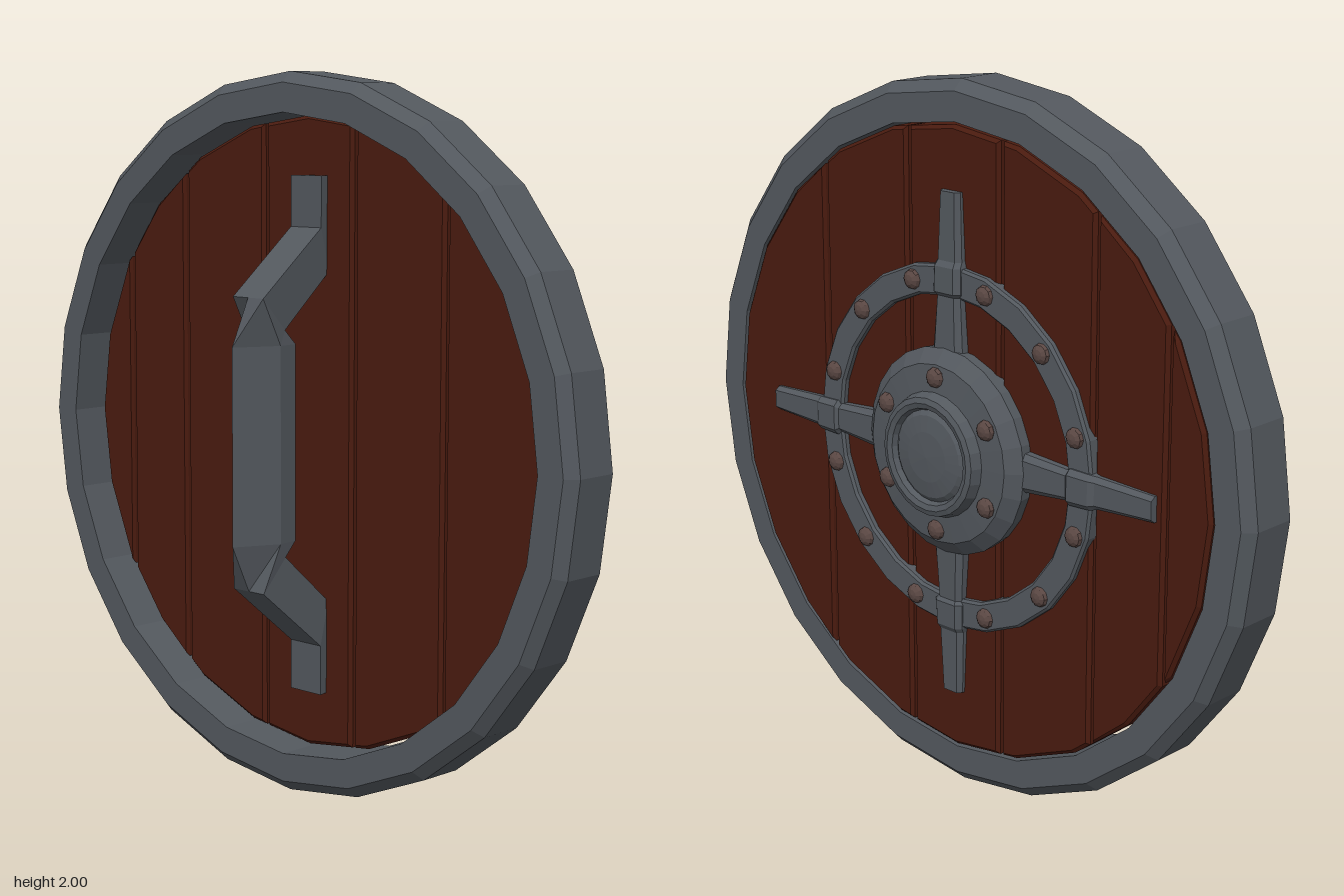
import * as THREE from 'three';

const material = (color) => new THREE.MeshStandardMaterial({ color, flatShading: true });

export function createModel() {
  const iron = material(0x53585e);
  const wood = material(0x4a1b0f);
  const copper = material(0x5a4743);

  // Built facing local +z, then turned to face +x.
  const shield = new THREE.Group();
  shield.name = 'roundShield';

  const add = (name, geometry, mat, parent = shield) => {
    const mesh = new THREE.Mesh(geometry, mat);
    mesh.name = name;
    parent.add(mesh);
    return mesh;
  };

  // Turned part from [radius, depth] pairs, axis along z.
  const turned = (profile, sides = 24) =>
    new THREE.LatheGeometry(profile.map(([r, d]) => new THREE.Vector2(r, d)), sides).rotateX(Math.PI / 2);

  // Closed solid through rings of [x, y, z], each counterclockwise about the path.
  const loft = (rings) => {
    const n = rings[0].length;
    const last = (rings.length - 1) * n;
    const index = [];
    for (let i = 0; i < rings.length - 1; i++) {
      for (let j = 0; j < n; j++) {
        const a = i * n + j, b = i * n + (j + 1) % n;
        index.push(a, b, b + n, a, b + n, a + n);
      }
    }
    for (let j = 1; j < n - 1; j++) {
      index.push(0, j + 1, j, last, last + j, last + j + 1);
    }
    const g = new THREE.BufferGeometry();
    g.setAttribute('position', new THREE.Float32BufferAttribute(rings.flat(2), 3));
    g.setIndex(index);
    const flat = g.toNonIndexed();
    flat.computeVertexNormals();
    return flat;
  };

  // Bevelled outer rim
  add('rim', turned([
    [0.89, -0.05], [0.97, -0.05], [1, -0.02], [1, 0.11], [0.97, 0.14], [0.89, 0.14], [0.89, -0.05],
  ]), iron);

  // Planks: vertical strips of a 24-sided disc with narrow gaps
  const planks = new THREE.Group();
  planks.name = 'planks';
  shield.add(planks);
  const R = 0.883, gap = 0.005, bevel = 0.01;
  const corners = Array.from({ length: 13 }, (_, i) => {
    const a = Math.PI - i * Math.PI / 12;
    return [R * Math.cos(a), R * Math.sin(a)];
  });
  const edgeHeight = (x) => {
    const i = Math.max(1, corners.findIndex(([cx]) => cx >= x));
    const [[x0, y0], [x1, y1]] = [corners[i - 1], corners[i]];
    return y0 + (y1 - y0) * (x - x0) / (x1 - x0);
  };
  const cuts = [-R, -0.5, -0.17, 0.17, 0.5, 0.74, R];
  for (let i = 0; i < cuts.length - 1; i++) {
    const x0 = i === 0 ? -R : cuts[i] + gap;
    const x1 = i === cuts.length - 2 ? R : cuts[i + 1] - gap;
    const top = [x0, ...corners.map((c) => c[0]).filter((x) => x > x0 + 0.002 && x < x1 - 0.002), x1]
      .map((x) => new THREE.Vector2(x, Math.abs(x) === R ? 0 : edgeHeight(x)));
    const bottom = top.filter((p) => p.y > 0).map((p) => new THREE.Vector2(p.x, -p.y)).reverse();
    const g = new THREE.ExtrudeGeometry(new THREE.Shape([...top, ...bottom]), {
      depth: 0.075, bevelEnabled: true, bevelSize: bevel, bevelOffset: -bevel, bevelThickness: bevel, bevelSegments: 1,
    });
    add('plank', g.translate(0, 0, 0.06), wood, planks);
  }

  // Iron hoop across the planks
  add('hoop', turned([
    [0.43, 0.13], [0.515, 0.13], [0.515, 0.158], [0.508, 0.165], [0.437, 0.165], [0.43, 0.158], [0.43, 0.13],
  ]), iron);

  // Four tapering arms, stepped over the hoop: [distance, half width, front]
  const armRings = [
    [0.25, 0.056, 0.182], [0.43, 0.042, 0.176], [0.44, 0.05, 0.184],
    [0.51, 0.048, 0.182], [0.525, 0.044, 0.172], [0.71, 0.035, 0.167],
  ].map(([y, w, z]) => [[-w, y, 0.13], [-w, y, z - 0.014], [-w * 0.7, y, z],
    [w * 0.7, y, z], [w, y, z - 0.014], [w, y, 0.13]]);
  const armGeometry = loft(armRings);
  for (let i = 0; i < 4; i++) add('crossArm', armGeometry, iron).rotation.z = i * Math.PI / 2;

  // Central boss with a raised collar and shallow dome
  add('boss', turned([
    [0, 0.13], [0.285, 0.13], [0.29, 0.18], [0.25, 0.213], [0.175, 0.22], [0.165, 0.25], [0.15, 0.255],
    [0.135, 0.25], [0.128, 0.235], [0.115, 0.245], [0.07, 0.252], [0, 0.255],
  ]), iron);

  // Rivets on the hoop and boss
  const rivetGeometry = new THREE.SphereGeometry(0.029, 10, 6).rotateX(Math.PI / 2).scale(1, 1, 0.7);
  const rivet = (name, degrees, r, z) => {
    const a = THREE.MathUtils.degToRad(degrees);
    add(name, rivetGeometry, copper).position.set(r * Math.cos(a), r * Math.sin(a), z);
  };
  for (let q = 0; q < 4; q++) {
    for (const d of [16.5, 45, 73.5]) rivet('hoopRivet', q * 90 + d, 0.473, 0.164);
  }
  for (let i = 0; i < 6; i++) rivet('bossRivet', 30 + i * 60, 0.215, 0.216);

  // Rear grip: ridged bar bending into flat feet; each ring is [depth, height] for ridge, shoulder, inside
  const upper = [
    [[0.02, 0.72], [0.02, 0.72], [0.06, 0.72]],
    [[0.02, 0.58], [0.02, 0.58], [0.06, 0.46]],
    [[-0.2, 0.4], [-0.2, 0.4], [-0.11, 0.31]],
    [[-0.26, 0.27], [-0.135, 0.27], [-0.07, 0.27]],
  ];
  const lower = upper.map((ring) => ring.map(([d, y]) => [d, -y])).reverse();
  const h = 0.058, cx = -0.02;
  const gripRings = [...upper, ...lower].map(([[rd, ry], [sd, sy], [nd, ny]]) => [
    [cx, ry, rd], [cx + h, sy, sd], [cx + h * 0.85, ny, nd], [cx - h * 0.85, ny, nd], [cx - h, sy, sd],
  ]);
  add('grip', loft(gripRings), iron);

  shield.rotation.y = Math.PI / 2;
  shield.position.y = 1;
  const model = new THREE.Group();
  model.name = 'shieldModel';
  model.add(shield);
  return model;
}
